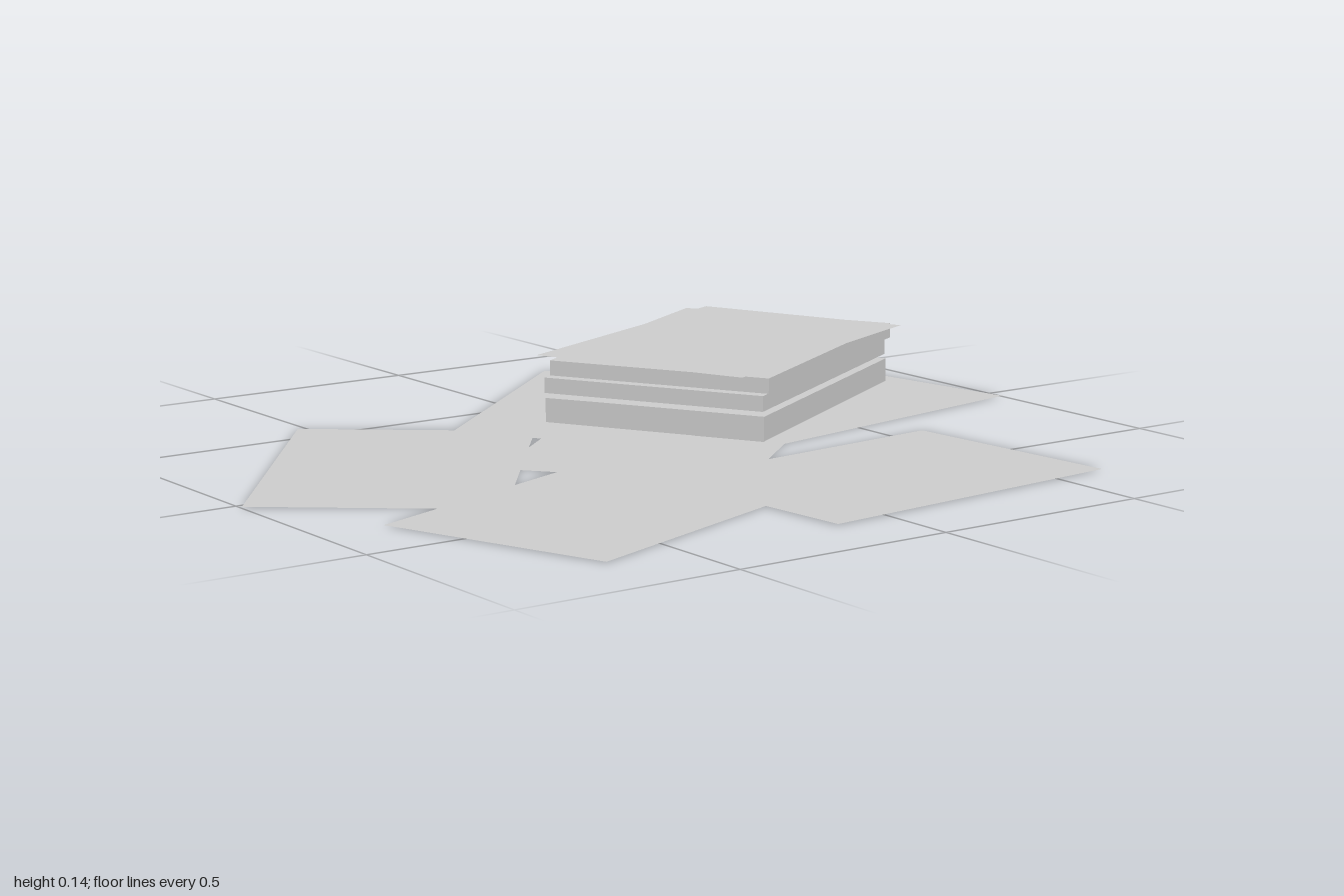
import * as THREE from 'three';

const WIDTH = 0.527, LENGTH = 0.767;

export function createModel() {
  const group = new THREE.Group();
  const blockMaterial = new THREE.MeshStandardMaterial({ color: 0xcccccc });
  const sheetMaterial = new THREE.MeshStandardMaterial({ color: 0xcccccc, side: THREE.DoubleSide });
  const sheetGeometry = new THREE.PlaneGeometry(WIDTH, LENGTH).rotateX(-Math.PI / 2);

  function place(name, geometry, material, x, y, z, degrees) {
    const mesh = new THREE.Mesh(geometry, material);
    mesh.name = name;
    mesh.position.set(x, y, z);
    mesh.rotation.y = THREE.MathUtils.degToRad(degrees);
    group.add(mesh);
  }

  // Loose sheets scattered on the ground: x, z, turn in degrees
  [
    [-0.026, -0.08, 40],
    [-0.392, -0.19, 40],
    [-0.122, 0.55, 51.6],
    [-0.15, -0.578, 9.8],
    [0.435, 0.4, 20],
    [0.535, -0.23, 4.9],
  ].forEach(([x, z, turn], i) =>
    place(`looseSheet${i + 1}`, sheetGeometry, sheetMaterial, x, i * 0.0004, z, turn));

  // Thick bundles of the stack: x, z, bottom, top
  [
    [-0.2925, -0.435, 0, 0.056],
    [-0.2975, -0.435, 0.066, 0.101],
    [-0.29, -0.445, 0.106, 0.14],
  ].forEach(([x, z, bottom, top], i) =>
    place(`paperBundle${i + 1}`, new THREE.BoxGeometry(WIDTH, top - bottom, LENGTH),
      blockMaterial, x, (bottom + top) / 2, z, 30));

  // Single sheets between the bundles and on top: x, y, z, turn
  [
    [-0.305, 0.061, -0.405, 31.6],
    [-0.305, 0.1035, -0.447, 31],
    [-0.285, 0.145, -0.435, 23.4],
  ].forEach(([x, y, z, turn], i) =>
    place(`stackSheet${i + 1}`, sheetGeometry, sheetMaterial, x, y, z, turn));

  return group;
}
